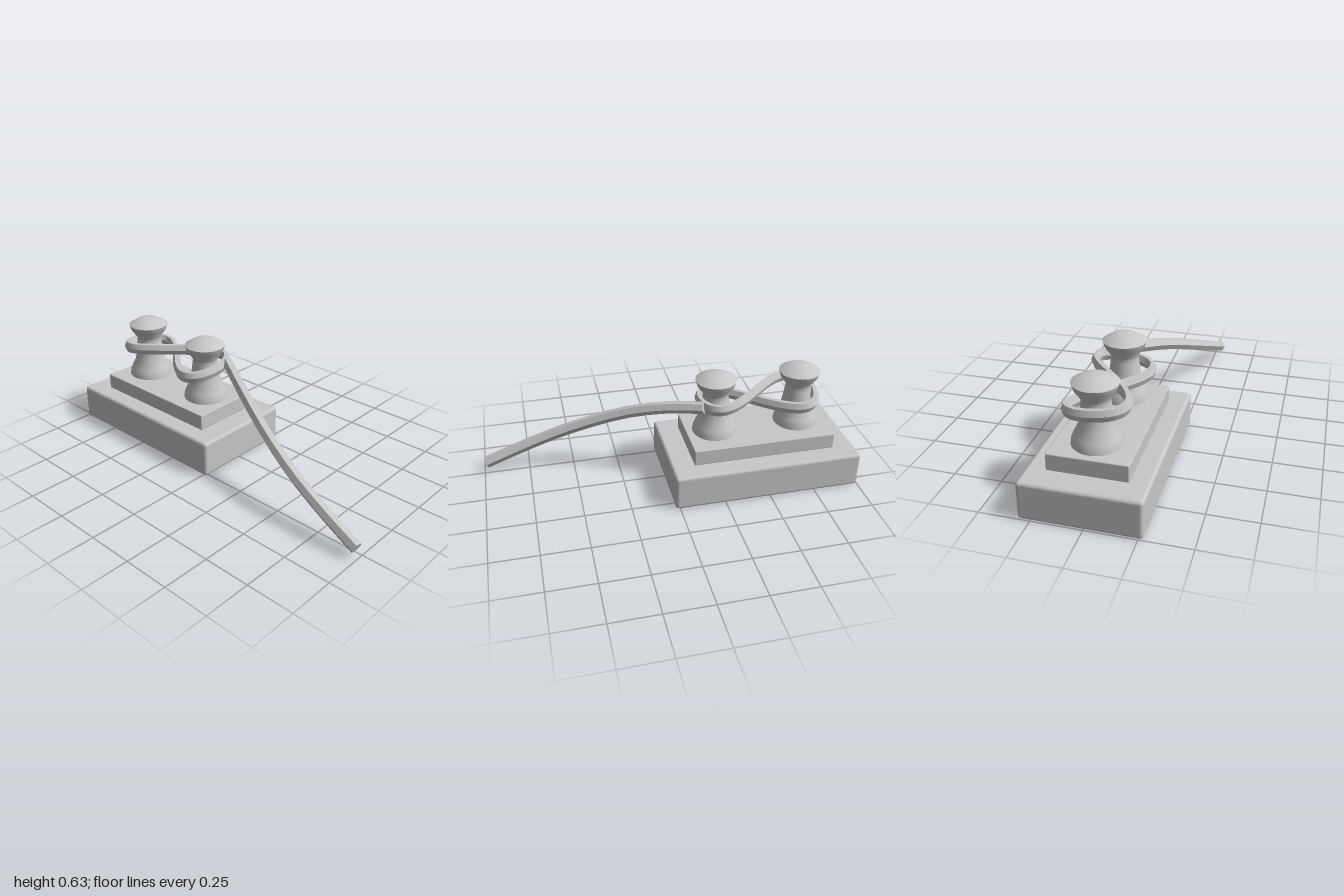
import * as THREE from 'three';
import { toCreasedNormals } from 'three/addons/utils/BufferGeometryUtils.js';
import { RoundedBoxGeometry } from 'three/addons/geometries/RoundedBoxGeometry.js';

const CENTER_X = -0.488, CENTER_Z = -0.016;

// Sweeps a hexagonal section, kept upright, along a curve
function ropeGeometry(curve, steps, halfWidth, halfHeight, closed) {
  const pos = [], index = [], sides = 6;
  const up = new THREE.Vector3(0, 1, 0);
  for (let i = 0; i <= steps; i++) {
    const p = curve.getPoint(i / steps);
    const dir = curve.getTangent(i / steps);
    const side = new THREE.Vector3().crossVectors(dir, up).normalize();
    const top = new THREE.Vector3().crossVectors(side, dir).normalize();
    for (let j = 0; j < sides; j++) {
      const a = (j / sides) * Math.PI * 2;
      const v = p.clone()
        .addScaledVector(side, Math.cos(a) * halfWidth)
        .addScaledVector(top, Math.sin(a) * halfHeight);
      pos.push(v.x, v.y, v.z);
    }
  }
  for (let i = 0; i < steps; i++) {
    for (let j = 0; j < sides; j++) {
      const k = (j + 1) % sides;
      const a = i * sides + j, b = i * sides + k, c = a + sides, d = b + sides;
      index.push(a, c, b, b, c, d);
    }
  }
  if (!closed) {
    const e = steps * sides;
    for (let j = 1; j < sides - 1; j++) {
      index.push(0, j, j + 1, e, e + j + 1, e + j);
    }
  }
  const g = new THREE.BufferGeometry();
  g.setAttribute('position', new THREE.Float32BufferAttribute(pos, 3));
  g.setIndex(index);
  return toCreasedNormals(g, 0.5);
}

// Figure-eight path, with one strand crossing above the other
class FigureEight extends THREE.Curve {
  getPoint(u, target = new THREE.Vector3()) {
    const t = u * Math.PI * 2;
    return target.set(
      CENTER_X + 0.315 * Math.cos(t),
      0.467 + 0.03 * Math.sin(t),
      CENTER_Z - 0.143 * Math.sin(2 * t)
    );
  }
  getTangent(u, target = new THREE.Vector3()) {
    const a = this.getPoint(u - 0.001), b = this.getPoint(u + 0.001);
    return target.copy(b).sub(a).normalize();
  }
}

export function createModel() {
  const model = new THREE.Group();
  model.name = 'mooringBollard';
  const grey = new THREE.MeshStandardMaterial({ color: 0xc8c8c8 });
  grey.name = 'grey';

  const add = (name, geometry, x = 0, y = 0, z = 0) => {
    const mesh = new THREE.Mesh(geometry, grey);
    mesh.name = name;
    mesh.position.set(x, y, z);
    model.add(mesh);
  };

  // Stepped base
  add('baseBlock', new RoundedBoxGeometry(1.024, 0.197, 0.585, 2, 0.018), -0.488, 0.0985, -0.018);
  add('mountingPlate', new RoundedBoxGeometry(0.778, 0.088, 0.39, 2, 0.006), -0.487, 0.241, -0.016);

  // Pair of flared posts with mushroom heads
  const profile = [
    [0, 0.28], [0.122, 0.28], [0.118, 0.31], [0.109, 0.333], [0.086, 0.378],
    [0.078, 0.43], [0.07, 0.49], [0.067, 0.512], [0.068, 0.516], [0.1, 0.562],
    [0.11, 0.593], [0.062, 0.621], [0.03, 0.627], [0, 0.629]
  ].map(([r, y]) => new THREE.Vector2(r, y));
  const post = toCreasedNormals(new THREE.LatheGeometry(profile, 32), 0.55);
  add('rightBollard', post, CENTER_X - 0.232, 0, CENTER_Z);
  add('leftBollard', post, CENTER_X + 0.232, 0, CENTER_Z);

  // Rope wound round both posts
  add('ropeFigureEight', ropeGeometry(new FigureEight(), 64, 0.022, 0.033, true));

  // Loose rope end hanging over the side
  const tail = new THREE.CatmullRomCurve3([
    [-0.17, 0.481, -0.104], [0, 0.449, -0.005], [0.2, 0.388, 0.096], [0.4, 0.306, 0.174],
    [0.6, 0.22, 0.23], [0.8, 0.132, 0.262], [0.985, 0.051, 0.28]
  ].map(p => new THREE.Vector3(...p)));
  add('ropeTail', ropeGeometry(tail, 12, 0.032, 0.033, false));

  return model;
}
